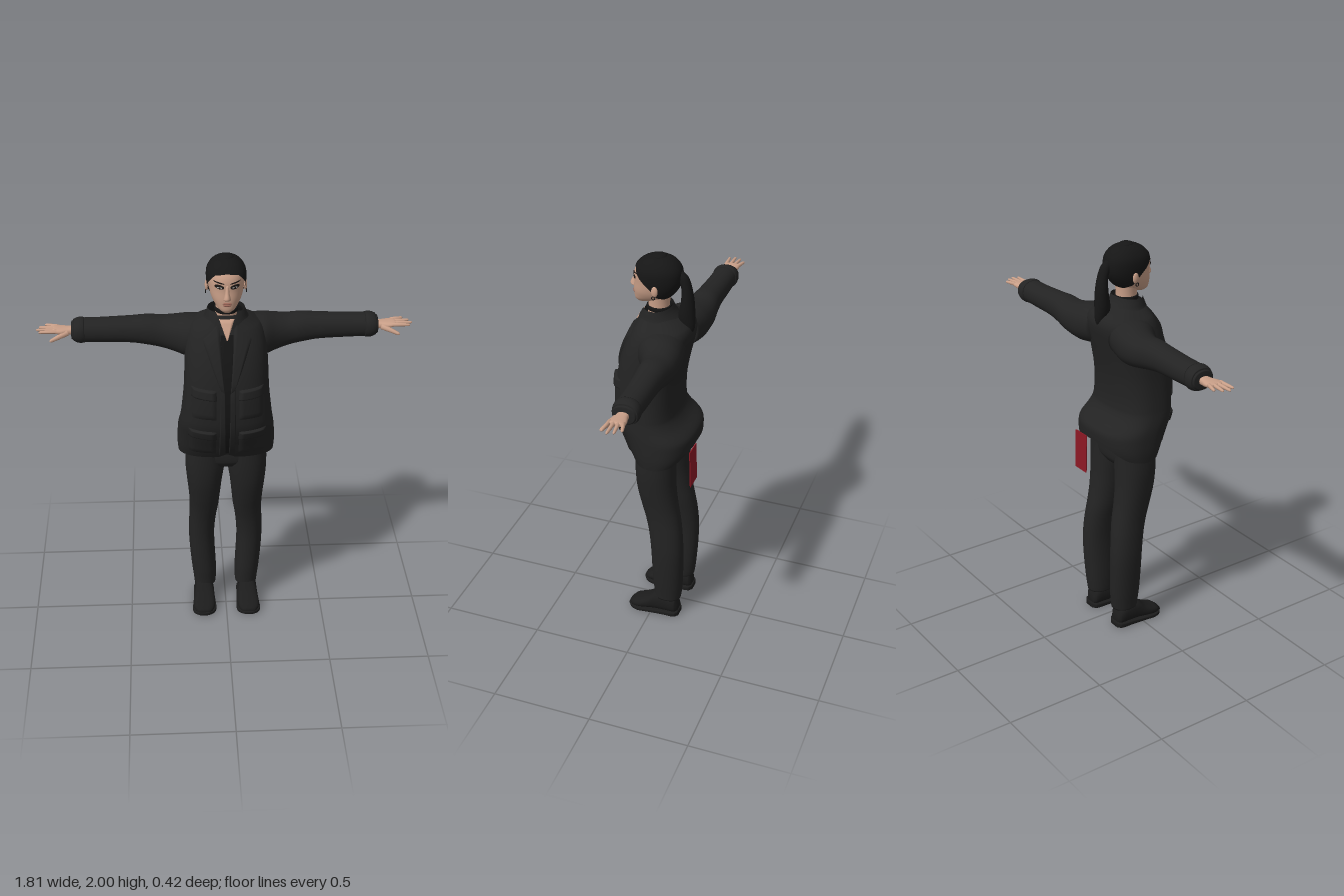
import * as THREE from 'three';
import { mergeVertices } from 'three/addons/utils/BufferGeometryUtils.js';

const mat = (name, color, side = THREE.FrontSide) => {
  const m = new THREE.MeshStandardMaterial({ color, side });
  m.name = name;
  return m;
};

// Section = [t, aMin, aMax, bMin, bMax]; smooth interpolation along t.
function sample(secs, t) {
  let k = 0;
  while (k < secs.length - 2 && t > secs[k + 1][0]) k++;
  const p = secs[k], q = secs[k + 1], h = q[0] - p[0], u = Math.min(1, Math.max(0, (t - p[0]) / h));
  const slope = (i, c) => {
    const m = secs[Math.max(0, i - 1)], n = secs[Math.min(secs.length - 1, i + 1)];
    return (n[c] - m[c]) / (n[0] - m[0]);
  };
  const [a0, a1, b0, b1] = [1, 2, 3, 4].map(c =>
    p[c] * (1 + 2 * u) * (1 - u) ** 2 + q[c] * u * u * (3 - 2 * u) +
    h * (slope(k, c) * u * (1 - u) ** 2 - slope(k + 1, c) * u * u * (1 - u)));
  return { ca: (a0 + a1) / 2, ra: Math.max(0, (a1 - a0) / 2), cb: (b0 + b1) / 2, rb: Math.max(0, (b1 - b0) / 2) };
}

// Piecewise-linear lookup in [[x, value], ...].
function ramp(pts, x) {
  for (let i = 1; i < pts.length; i++) {
    const [x0, v0] = pts[i - 1], [x1, v1] = pts[i];
    if (x <= x1) return v0 + (v1 - v0) * (x - x0) / (x1 - x0);
  }
  return pts[pts.length - 1][1];
}

function finish(pos, idx) {
  let g = new THREE.BufferGeometry();
  g.setAttribute('position', new THREE.Float32BufferAttribute(pos, 3));
  g.setIndex(idx);
  g = mergeVertices(g, 1e-5);
  g.computeVertexNormals();
  return g;
}

// Superelliptic loft along an axis; low/high trim the ends by angle from the front.
function loft(secs, { axis = 'y', n = 2, sub = 4, seg = 32, cap = true, grow = 0, low, high } = {}) {
  const rows = [], pos = [], idx = [];
  secs.forEach((s, k) => {
    if (k) for (let j = 1; j <= sub; j++) rows.push([secs[k - 1][0] + (s[0] - secs[k - 1][0]) * j / sub, 1]);
    else rows.push([s[0], 1]);
  });
  if (cap) { rows.unshift([rows[0][0], 0]); rows.push([rows[rows.length - 1][0], 0]); }
  for (const [t0, k] of rows) for (let i = 0; i <= seg; i++) {
    const th = (i % seg) / seg * Math.PI * 2, phi = Math.min(th, Math.PI * 2 - th);
    let t = t0;
    if (low) t = Math.max(t, ramp(low, phi));
    if (high) t = Math.min(t, ramp(high, phi));
    const s = sample(secs, t), pw = v => Math.sign(v) * Math.abs(v) ** (2 / n);
    const a = s.ca + (s.ra + grow) * k * pw(Math.sin(th)), b = s.cb + (s.rb + grow) * k * pw(Math.cos(th));
    pos.push(...(axis === 'y' ? [a, t, b] : axis === 'x' ? [t, a, b] : [a, b, t]));
  }
  for (let j = 0; j < rows.length - 1; j++) for (let i = 0; i < seg; i++) {
    const a = j * (seg + 1) + i, b = a + 1, c = a + seg + 1, d = c + 1;
    if (axis === 'y') idx.push(a, b, d, a, d, c); else idx.push(a, d, b, a, c, d);
  }
  return finish(pos, idx);
}

// Thin relief laid on the front of a loft; fn maps u, v in [-1, 1] to x, y.
function plate(secs, n, fn, off, N = 10) {
  const pos = [], idx = [];
  for (let j = 0; j <= N; j++) for (let i = 0; i <= N; i++) {
    const [x, y] = fn(i / N * 2 - 1, j / N * 2 - 1), s = sample(secs, y);
    const rim = i === 0 || j === 0 || i === N || j === N;
    const z = s.cb + s.rb * Math.max(0, 1 - Math.abs((x - s.ca) / s.ra) ** n) ** (1 / n);
    pos.push(x, y, z + (rim ? 0.001 : off));
    if (i < N && j < N) {
      const a = j * (N + 1) + i, c = a + N + 1;
      idx.push(a, a + 1, c + 1, a, c + 1, c);
    }
  }
  return finish(pos, idx);
}
const quad = (p, q, r, s) => (u, v) => [0, 1].map(c =>
  ((p[c] * (1 - u) + q[c] * (1 + u)) * (1 - v) + (s[c] * (1 - u) + r[c] * (1 + u)) * (1 + v)) / 4);
const oval = (cx, cy, w, h, tilt = 0) => (u, v) => [cx + w * u, cy + tilt * u + h * v * Math.sqrt(1.02 - u * u)];

function mirrored(g) {
  const m = g.clone().scale(-1, 1, 1), ix = m.index.array;
  for (let i = 0; i < ix.length; i += 3) [ix[i], ix[i + 1]] = [ix[i + 1], ix[i]];
  m.computeVertexNormals();
  return m;
}

// Tapered rounded rod between two points.
function rod(p, q, r0, r1) {
  const a = new THREE.Vector3(...p), b = new THREE.Vector3(...q), d = b.clone().sub(a), L = d.length();
  const g = new THREE.LatheGeometry([[0, 0], [r0, 0], [(r0 + r1) / 2, L * 0.5], [r1, L * 0.9], [r1 * 0.6, L * 0.98], [0, L]]
    .map(v => new THREE.Vector2(...v)), 10);
  g.applyQuaternion(new THREE.Quaternion().setFromUnitVectors(new THREE.Vector3(0, 1, 0), d.normalize()));
  return g.translate(a.x, a.y, a.z);
}
const ball = (x, y, z, a, b, c) => new THREE.SphereGeometry(1, 16, 12).scale(a, b, c).translate(x, y, z);
const sym = rows => rows.map(([y, x, zb, zf]) => [y, -x, x, zb, zf]);

export function createModel() {
  const model = new THREE.Group();
  model.name = 'standingFigure';
  const cloth = mat('blackCloth', 0x232323, THREE.DoubleSide), dark = mat('shirtBlack', 0x151515, THREE.DoubleSide);
  const hair = mat('hair', 0x161616, THREE.DoubleSide), skin = mat('skin', 0xc99f88), shoe = mat('shoeLeather', 0x1c1c1c);
  const lip = mat('lips', 0x9a6658), makeup = mat('eyeMakeup', 0x1d1816), white = mat('eyeWhite', 0xb8b4b0);
  const red = mat('redCloth', 0x8c1824);
  const add = (name, g, m) => {
    const mesh = new THREE.Mesh(g, m);
    mesh.name = name;
    model.add(mesh);
  };
  const pair = (name, g, m) => { add(name + 'Left', g, m); add(name + 'Right', mirrored(g), m); };

  // Coat body with a raised back hem
  const coat = sym([
    [0.94, 0.235, -0.15, 0.085], [1.0, 0.24, -0.185, 0.12], [1.06, 0.238, -0.195, 0.148], [1.1, 0.235, -0.188, 0.167],
    [1.15, 0.228, -0.135, 0.186], [1.2, 0.22, -0.108, 0.196], [1.34, 0.205, -0.11, 0.2], [1.45, 0.2, -0.128, 0.187],
    [1.54, 0.195, -0.148, 0.162], [1.61, 0.185, -0.16, 0.132], [1.65, 0.165, -0.15, 0.112], [1.675, 0.13, -0.12, 0.098],
    [1.7, 0.092, -0.075, 0.085], [1.72, 0.08, -0.055, 0.075]]);
  add('coatBody', loft(coat, { n: 2.5, seg: 64, cap: false,
    low: [[0, 0.99], [0.12, 0.965], [1.6, 0.955], [2.2, 0.97], [2.7, 1.02], [3.2, 1.035]] }), cloth);
  const collar = sym([[1.665, 0.125, -0.11, 0.1], [1.69, 0.1, -0.085, 0.094], [1.72, 0.088, -0.062, 0.082], [1.745, 0.08, -0.05, 0.07]]);
  add('collar', loft(collar, { seg: 64, cap: false, grow: 0.006, high: [[0, 1.665], [0.2, 1.67], [0.55, 1.735], [3.2, 1.745]] }), cloth);

  // Coat front: shirt strip, bare neckline, lapels, front edges and pockets
  const onCoat = (fn, off) => plate(coat, 2.5, fn, off);
  add('shirtStrip', onCoat(quad([-0.012, 1.0], [0.012, 1.0], [0.03, 1.64], [-0.03, 1.64]), 0.003), dark);
  add('neckline', onCoat(quad([-0.002, 1.615], [0.002, 1.615], [0.036, 1.705], [-0.036, 1.705]), 0.008), skin);
  pair('lapel', onCoat(quad([0.012, 1.36], [0.03, 1.38], [0.115, 1.615], [0.036, 1.69]), 0.013), cloth);
  pair('frontEdge', onCoat(quad([0.008, 0.99], [0.04, 0.985], [0.035, 1.42], [0.012, 1.4]), 0.009), cloth);
  for (const [x0, x1, y0, y1] of [[0.055, 0.17, 1.23, 1.38], [0.055, 0.185, 1.0, 1.15]]) {
    pair('pocket', onCoat(quad([x0, y0], [x1, y0], [x1, y1], [x0, y1]), 0.009), cloth);
    pair('pocketFlap', onCoat(quad([x0 - 0.004, y1 - 0.045], [x1 + 0.004, y1 - 0.04], [x1 + 0.002, y1 + 0.012], [x0, y1 + 0.008]), 0.017), cloth);
  }

  // Sleeves and cuffs
  pair('sleeve', loft([
    [0.08, 1.48, 1.665, -0.15, 0.06], [0.18, 1.465, 1.664, -0.17, 0.05], [0.24, 1.475, 1.652, -0.174, 0.012],
    [0.3, 1.49, 1.645, -0.174, -0.012], [0.37, 1.505, 1.65, -0.166, -0.022], [0.45, 1.517, 1.645, -0.16, -0.03],
    [0.6, 1.522, 1.638, -0.158, -0.036], [0.69, 1.525, 1.636, -0.157, -0.037], [0.72, 1.53, 1.628, -0.156, -0.04],
    [0.735, 1.54, 1.62, -0.148, -0.048]], { axis: 'x', n: 2.2 }), cloth);
  pair('cuff', loft([[0.672, 1.522, 1.638, -0.159, -0.035], [0.69, 1.519, 1.641, -0.162, -0.032], [0.71, 1.523, 1.637, -0.161, -0.034],
    [0.725, 1.53, 1.63, -0.157, -0.04]], { axis: 'x', n: 2.2 }), cloth);

  // Hands
  pair('palm', loft([[0.71, 1.56, 1.6, -0.122, -0.072], [0.75, 1.562, 1.598, -0.125, -0.066], [0.78, 1.567, 1.598, -0.133, -0.056],
    [0.815, 1.576, 1.598, -0.135, -0.054], [0.825, 1.582, 1.594, -0.13, -0.058]], { axis: 'x', n: 2.5, seg: 20 }), skin);
  for (const [z, tipX, tipZ] of [[-0.125, 0.865, -0.143], [-0.105, 0.892, -0.115], [-0.085, 0.904, -0.086], [-0.064, 0.89, -0.058]])
    pair('finger', rod([0.805, 1.588, z], [tipX, 1.588, tipZ], 0.0105, 0.0065), skin);
  pair('thumb', rod([0.755, 1.577, -0.072], [0.838, 1.552, -0.03], 0.015, 0.008), skin);

  // Trousers
  add('trouserSeat', loft(sym([[0.885, 0.1, -0.09, 0.06], [0.92, 0.18, -0.11, 0.08], [1.0, 0.195, -0.115, 0.085], [1.12, 0.19, -0.1, 0.1]]), { n: 2.4 }), cloth);
  pair('trouserLeg', loft([
    [0.1, 0.052, 0.165, -0.148, -0.012], [0.13, 0.05, 0.168, -0.152, -0.01], [0.2, 0.05, 0.176, -0.158, -0.004],
    [0.32, 0.056, 0.186, -0.163, 0], [0.42, 0.058, 0.19, -0.163, 0.004], [0.52, 0.05, 0.187, -0.155, 0.016],
    [0.6, 0.038, 0.184, -0.143, 0.034], [0.68, 0.03, 0.187, -0.128, 0.056], [0.78, 0.02, 0.196, -0.116, 0.078],
    [0.88, 0.006, 0.203, -0.112, 0.087], [1.0, 0, 0.2, -0.112, 0.088]], { n: 2.2 }), cloth);

  // Shoes with flat soles
  pair('shoe', loft([
    [-0.14, 0.085, 0.14, 0.02, 0.06], [-0.125, 0.07, 0.158, 0.01, 0.1], [-0.08, 0.066, 0.162, 0.01, 0.125], [-0.02, 0.064, 0.164, 0.01, 0.122],
    [0.02, 0.06, 0.168, 0.01, 0.088], [0.06, 0.06, 0.172, 0.01, 0.066], [0.095, 0.068, 0.166, 0.01, 0.053], [0.118, 0.088, 0.146, 0.012, 0.036]],
  { axis: 'z', n: 2.4 }), shoe);
  pair('sole', loft([
    [-0.147, 0.085, 0.145, 0, 0.026], [-0.13, 0.064, 0.165, 0, 0.028], [-0.06, 0.06, 0.168, 0, 0.024], [0.02, 0.055, 0.174, 0, 0.02],
    [0.07, 0.054, 0.178, 0, 0.02], [0.105, 0.068, 0.166, 0.003, 0.022], [0.125, 0.095, 0.142, 0.008, 0.024]], { axis: 'z', n: 6 }), shoe);

  // Neck, choker and head
  add('neck', loft(sym([[1.62, 0.06, -0.055, 0.06], [1.7, 0.052, -0.045, 0.062], [1.75, 0.05, -0.042, 0.06], [1.82, 0.055, -0.045, 0.055]])), skin);
  add('choker', loft(sym([[1.722, 0.055, -0.05, 0.068], [1.732, 0.057, -0.051, 0.069], [1.742, 0.055, -0.049, 0.067]])), dark);
  const head = sym([
    [1.75, 0.018, 0.07, 0.112], [1.765, 0.04, 0.02, 0.125], [1.79, 0.06, -0.04, 0.128], [1.82, 0.074, -0.07, 0.129],
    [1.86, 0.083, -0.092, 0.126], [1.9, 0.087, -0.098, 0.126], [1.935, 0.083, -0.092, 0.114], [1.965, 0.065, -0.07, 0.088],
    [1.983, 0.042, -0.042, 0.058], [1.992, 0.018, -0.012, 0.028], [1.995, 0.004, 0.004, 0.012]]);
  add('head', loft(head, { n: 2.2, seg: 48 }), skin);
  add('nose', loft(sym([[1.818, 0.008, 0.11, 0.13], [1.824, 0.017, 0.11, 0.146], [1.834, 0.015, 0.11, 0.151], [1.858, 0.01, 0.11, 0.141], [1.892, 0.009, 0.11, 0.127]]),
    { seg: 16 }), skin);
  add('upperLip', ball(0, 1.804, 0.128, 0.022, 0.005, 0.007), lip);
  add('lowerLip', ball(0, 1.795, 0.127, 0.019, 0.006, 0.007), lip);
  pair('ear', ball(0.09, 1.845, 0.0, 0.009, 0.027, 0.016), skin);
  pair('earring', new THREE.TorusGeometry(0.008, 0.002, 6, 12).rotateY(Math.PI / 2).translate(0.096, 1.815, 0.004), dark);
  const onHead = (fn, off) => plate(head, 2.2, fn, off, 12);
  pair('eyeShadow', onHead(oval(0.036, 1.885, 0.022, 0.011, 0.002), 0.003), makeup);
  pair('eyeWhite', onHead(oval(0.036, 1.882, 0.013, 0.0045), 0.0045), white);
  pair('iris', onHead(oval(0.036, 1.882, 0.0048, 0.0046), 0.006), makeup);
  pair('eyebrow', onHead(oval(0.038, 1.905, 0.025, 0.003, 0.004), 0.004), makeup);

  // Swept-back hair and ponytail
  add('hairCap', loft(head, { n: 2.2, seg: 64, grow: 0.007,
    low: [[0, 1.945], [0.6, 1.936], [1.0, 1.9], [1.4, 1.862], [1.9, 1.805], [3.2, 1.772]], cap: false }), hair);
  add('hairCrown', ball(0, 1.988, 0.008, 0.035, 0.012, 0.035), hair);
  add('ponytail', loft(sym([[1.605, 0.006, -0.15, -0.135], [1.64, 0.022, -0.166, -0.105], [1.7, 0.033, -0.168, -0.088], [1.78, 0.034, -0.163, -0.1],
    [1.85, 0.029, -0.15, -0.1], [1.9, 0.024, -0.132, -0.08], [1.925, 0.012, -0.108, -0.075]])), hair);

  // Red cloth hanging from the back hem
  add('redCloth', new THREE.BoxGeometry(0.095, 0.2, 0.005).rotateX(0.03).translate(0.09, 0.935, -0.2), red);
  return model;
}
